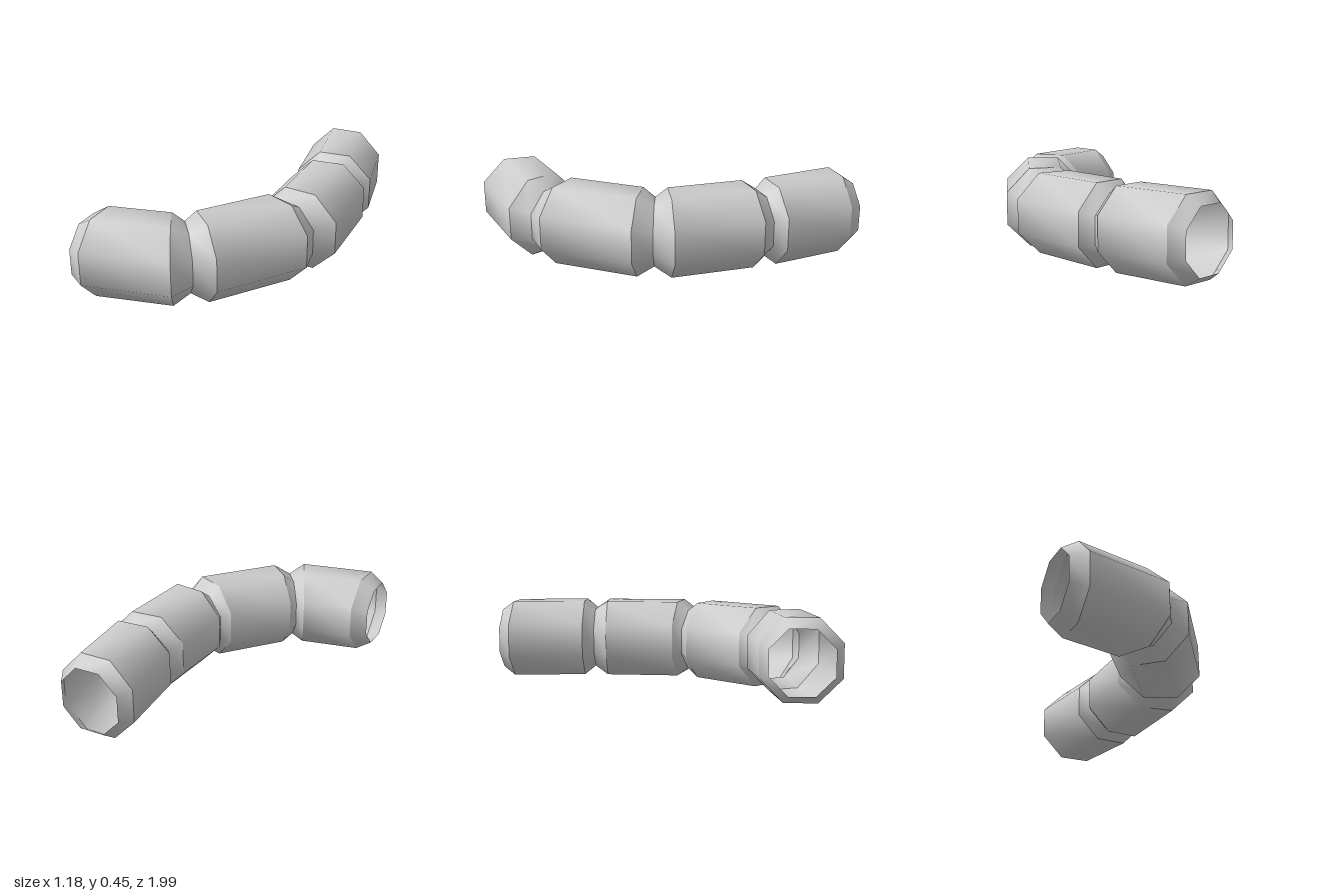
import * as THREE from 'three';

const SIDES = 8, CENTRE_Y = 0.227, WIDE = 0.227, NARROW = 0.176;

// Mitred rings along the bend, back end first: one side [x, z], other side [x, z].
// Every third ring is a narrow neck.
const rings = [
  [0.12, -1.0, 0.468, -1.0],
  [0.07, -0.93, 0.516, -0.922],
  [0.127, -0.493, 0.58, -0.512],
  [0.177, -0.43, 0.537, -0.445],
  [0.132, -0.35, 0.585, -0.374],
  [0.124, 0.05, 0.582, 0.133],
  [0.15, 0.106, 0.484, 0.223],
  [0.095, 0.138, 0.495, 0.345],
  [-0.15, 0.45, 0.167, 0.77],
  [-0.167, 0.5, 0.045, 0.798],
  [-0.22, 0.495, -0.024, 0.907],
  [-0.508, 0.552, -0.508, 0.993],
  [-0.595, 0.6, -0.595, 0.944],
];

// Octagon with flat top, bottom and sides, spanning the ring's two side points
function ringPoints(index) {
  const [x0, z0, x1, z1] = rings[index];
  const height = index % 3 === 0 ? NARROW : WIDE;
  const k = 1 / Math.cos(Math.PI / SIDES);
  const points = [];
  for (let j = 0; j < SIDES; j++) {
    const a = ((j + 0.5) / SIDES) * Math.PI * 2;
    const c = Math.cos(a) * k, s = Math.sin(a) * k;
    points.push(
      (x0 + x1) / 2 + ((x1 - x0) / 2) * c,
      CENTRE_Y + height * s,
      (z0 + z1) / 2 + ((z1 - z0) / 2) * c,
    );
  }
  return points;
}

// Open band between two neighbouring rings, smooth around, sharp at its rims
function band(index) {
  const indices = [];
  for (let j = 0; j < SIDES; j++) {
    const n = (j + 1) % SIDES;
    indices.push(j, n, SIDES + n, j, SIDES + n, SIDES + j);
  }
  const geometry = new THREE.BufferGeometry();
  geometry.setAttribute('position', new THREE.Float32BufferAttribute(
    [...ringPoints(index), ...ringPoints(index + 1)], 3));
  geometry.setIndex(indices);
  geometry.computeVertexNormals();
  return geometry;
}

export function createModel() {
  const model = new THREE.Group();
  model.name = 'bentPipe';
  const material = new THREE.MeshStandardMaterial({ color: 0xcccccc, side: THREE.DoubleSide });

  // Four segments, each a barrel between two tapered collars
  const names = ['backCollar', 'barrel', 'frontCollar'];
  for (let s = 0; s < 4; s++) {
    const segment = new THREE.Group();
    segment.name = `pipeSegment${s + 1}`;
    names.forEach((name, i) => {
      const mesh = new THREE.Mesh(band(s * 3 + i), material);
      mesh.name = name;
      segment.add(mesh);
    });
    model.add(segment);
  }
  return model;
}
